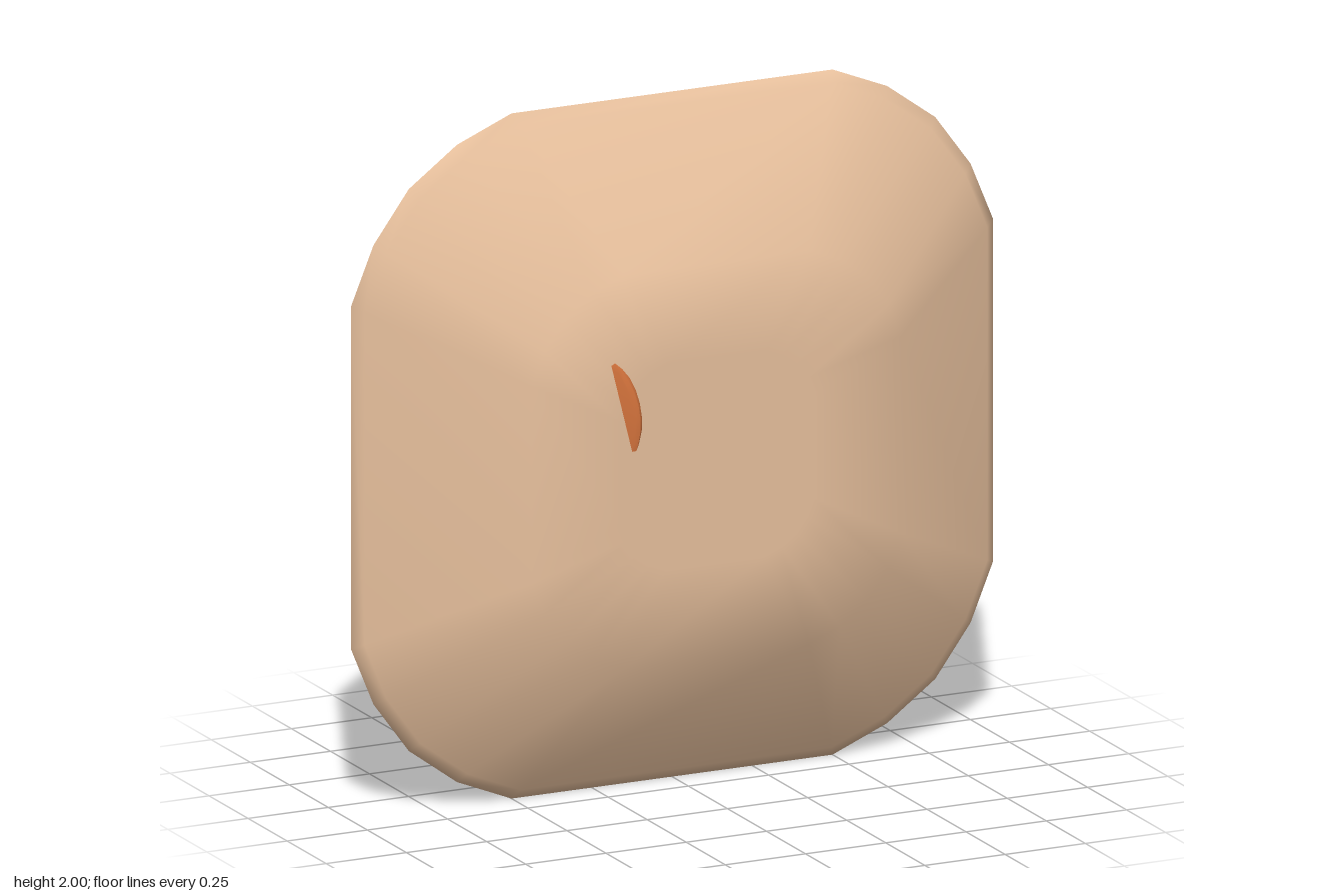
import * as THREE from 'three';
import { toCreasedNormals } from 'three/addons/utils/BufferGeometryUtils.js';

const mat = (color) => new THREE.MeshStandardMaterial({ color });
const DOUGH = mat(0xd9763e), RED = mat(0xb33a4b), BROWN = mat(0x4a2c1c), GREY = mat(0xcccccc);
const BEAD = mat(0xe8d8c4), PINK = mat(0x9c5a78), CLAY = mat(0xe6bf9c);

function add(parent, name, geometry, material, x = 0, y = 0, z = 0) {
  const m = new THREE.Mesh(geometry, material);
  m.name = name;
  m.position.set(x, y, z);
  parent.add(m);
  return m;
}

// Bowl: rounded-square loops lofted from the outer base, over the rim, to the inner floor
function bowlGeometry() {
  const corner = [[1, 0.5], [0.93, 0.67], [0.82, 0.82], [0.67, 0.93], [0.5, 1]];
  const outline = [];
  for (let q = 0; q < 4; q++) {
    const c = Math.round(Math.cos(q * Math.PI / 2)), s = Math.round(Math.sin(q * Math.PI / 2));
    corner.forEach(([x, y]) => outline.push([x * c - y * s, x * s + y * c]));
  }
  const profile = [[0, 0.18], [0.3, 0.18], [0.575, 0.18], [0.97, -0.08], [1, -0.105], [0.985, -0.125],
    [0.965, -0.13], [0.945, -0.115], [0.74, 0.03], [0.56, 0.135], [0.3, 0.15], [0, 0.15]];
  const n = outline.length, last = profile.length - 2, pos = [], index = [];
  profile.forEach(([s, z]) => outline.forEach(([x, y]) => pos.push(x * s, 1 + y * s, z)));
  for (let r = 0; r <= last; r++) {
    for (let i = 0; i < n; i++) {
      const a = r * n + i, b = r * n + (i + 1) % n;
      if (r > 0) index.push(a, a + n, b);
      if (r < last) index.push(b, a + n, b + n);
    }
  }
  const g = new THREE.BufferGeometry();
  g.setAttribute('position', new THREE.Float32BufferAttribute(pos, 3));
  g.setIndex(index);
  g.computeVertexNormals();
  return g;
}

// Cookie outlines
function heartShape() {
  const s = new THREE.Shape();
  s.moveTo(0, -0.27);
  s.bezierCurveTo(0.09, -0.18, 0.25, -0.04, 0.25, 0.09);
  s.bezierCurveTo(0.25, 0.24, 0.06, 0.27, 0, 0.13);
  s.bezierCurveTo(-0.06, 0.27, -0.25, 0.24, -0.25, 0.09);
  s.bezierCurveTo(-0.25, -0.04, -0.09, -0.18, 0, -0.27);
  return s;
}

// Fat crescent with blunt horns, its back towards +y
function moonShape() {
  const s = new THREE.Shape(), a = 0.4, r = 0.26;
  const hx = r * Math.cos(a), hy = -r * Math.sin(a);
  s.absarc(0, 0, r, -a, Math.PI + a, false);
  s.quadraticCurveTo(-hx + 0.03, hy - 0.05, -hx + 0.08, hy - 0.02);
  s.quadraticCurveTo(0, 0.16, hx - 0.08, hy - 0.02);
  s.quadraticCurveTo(hx - 0.03, hy - 0.05, hx, hy);
  return s;
}

function manShape() {
  const half = [[0.07, 0.27], [0.09, 0.2], [0.06, 0.135], [0.15, 0.125], [0.205, 0.085], [0.19, 0.03],
    [0.1, 0.015], [0.09, -0.06], [0.165, -0.19], [0.165, -0.26], [0.09, -0.28], [0.035, -0.18]];
  const pts = [[0, 0.295], ...half, [0, -0.135], ...half.map(([x, y]) => [-x, y]).reverse()];
  const curve = new THREE.CatmullRomCurve3(pts.map(([x, y]) => new THREE.Vector3(x, y, 0)), true);
  return new THREE.Shape(curve.getPoints(72).slice(0, -1).reverse().map((p) => new THREE.Vector2(p.x, p.y)));
}

// Slab with rounded edges whose front face lies at z = front
function slab(shape, thickness, front, inset) {
  const bevel = thickness * 0.25;
  const g = new THREE.ExtrudeGeometry(shape, {
    depth: thickness - 2 * bevel, bevelThickness: bevel, bevelSize: bevel,
    bevelOffset: -inset - bevel, bevelSegments: 2, curveSegments: 14,
  });
  g.translate(0, 0, front - thickness + bevel);
  return toCreasedNormals(g, 0.7);
}

// Cookie placed by centre, direction of its top and lean of its face (which looks to -z)
function cookie(parent, name, shape, icing, { at, up, lean, size = 1, inset = 0.022 }) {
  const g = new THREE.Group();
  g.name = name;
  add(g, 'dough', slab(shape, 0.06, 0, 0), DOUGH);
  if (icing) add(g, 'icing', slab(shape, 0.03, 0.016, inset), icing);
  const n = new THREE.Vector3(lean[0], lean[1], -1).normalize();
  const u = new THREE.Vector3(up[0], up[1], up[0] * lean[0] + up[1] * lean[1]).normalize();
  const x = new THREE.Vector3().crossVectors(u, n);
  g.quaternion.setFromRotationMatrix(new THREE.Matrix4().makeBasis(x, u, n));
  g.position.set(...at);
  g.scale.setScalar(size);
  parent.add(g);
  return g;
}

const tube = (pts, r, closed = false) =>
  new THREE.TubeGeometry(new THREE.CatmullRomCurve3(pts, closed), 64, r, 6, closed);

// Piped outline that winds into two curls at the notch
function pipeHeart(g) {
  const pts = heartShape().getPoints(10).slice(0, -1).map((p) => new THREE.Vector3(p.x * 0.87, p.y * 0.87, 0.004));
  add(g, 'pipedOutline', tube(pts, 0.01, true), RED);
  for (const side of [-1, 1]) {
    const curl = [];
    for (let i = 0; i <= 28; i++) {
      const t = i / 28, a = Math.PI * (1 + 3.4 * t), r = 0.052 * (1 - 0.8 * t);
      curl.push(new THREE.Vector3(side * (0.054 + r * Math.cos(a)), 0.095 + r * Math.sin(a), 0.006));
    }
    add(g, 'curl', tube(curl, 0.008), RED);
  }
}

// Face, buttons and beaded cuffs
function decorateMan(g, faceMat, z, cuffs) {
  const ball = (name, x, y, r, m) => add(g, name, new THREE.SphereGeometry(r, 10, 8), m, x, y, z).scale.set(1, 1, 0.7);
  const smile = add(g, 'smile', new THREE.TorusGeometry(0.045, 0.006, 6, 16, 2.4), faceMat, 0, 0.205, z);
  smile.rotation.z = Math.PI + 0.37;
  for (const s of [-1, 1]) {
    ball('eye', s * 0.025, 0.225, 0.011, faceMat);
    if (!cuffs) continue;
    for (let i = 0; i < 7; i++) {
      const t = i / 6, zig = i % 2 ? 0.006 : -0.006;
      ball('armBead', s * (0.145 + zig), 0.03 + 0.085 * t, 0.009, BEAD);
      ball('legBead', s * (0.06 + 0.08 * t), -0.195 + 0.035 * t + zig, 0.009, BEAD);
    }
  }
  for (const y of [0.09, 0.02, -0.05]) ball('button', 0, y, 0.014, cuffs ? BEAD : faceMat);
}

export function createModel() {
  const model = new THREE.Group();
  model.name = 'cookieBowl';
  add(model, 'bowl', bowlGeometry(), CLAY);

  // Iced hearts
  const heart = heartShape();
  cookie(model, 'redHeartTop', heart, RED, { at: [0.57, 1.475, -0.06], up: [0.88, 0.47], lean: [-0.08, -0.08] });
  cookie(model, 'redHeartMiddle', heart, RED, { at: [0.44, 0.68, -0.03], up: [0.75, -0.66], lean: [-0.45, 0.17] });
  cookie(model, 'redHeartBottom', heart, RED, { at: [0.12, 0.37, -0.065], up: [0.39, -0.92], lean: [0, 0.25] });
  cookie(model, 'chocolateHeart', heart, BROWN, { at: [-0.15, 0.91, -0.125], up: [0.8, 0.6], lean: [0.1, 0], size: 1.05 });

  // Piped hearts
  pipeHeart(cookie(model, 'pipedHeartTop', heart, null, { at: [0.26, 1.12, -0.06], up: [0.02, -1], lean: [0, -0.27] }));
  pipeHeart(cookie(model, 'pipedHeartBottom', heart, null, { at: [0.02, 0.62, 0.0], up: [-0.3, -0.95], lean: [0.1, 0.2] }));

  // Crescents
  const moon = moonShape();
  cookie(model, 'icedMoonLeft', moon, GREY, { at: [0.61, 1.07, -0.075], up: [0.5, -0.87], lean: [-0.35, -0.27], size: 1.03 });
  cookie(model, 'plainMoonTop', moon, null, { at: [0.1, 1.47, -0.02], up: [0, 1], lean: [0, -0.25], size: 1.08 });
  cookie(model, 'icedMoonRight', moon, GREY, { at: [-0.45, 1.49, -0.03], up: [0.9, 0.42], lean: [0.2, -0.25] });
  cookie(model, 'plainMoonSide', moon, null, { at: [-0.48, 1.14, 0.03], up: [0.05, 1], lean: [0.4, 0.1], size: 1.1 });

  // Gingerbread figures
  const man = manShape();
  const upper = cookie(model, 'gingerbreadTop', man, null, { at: [-0.165, 1.32, -0.08], up: [-0.53, -0.85], lean: [0.1, 0.15], size: 1.05 });
  decorateMan(upper, BEAD, 0.002, true);
  const lower = cookie(model, 'gingerbreadBottom', man, null, { at: [-0.51, 0.48, -0.03], up: [-0.74, -0.67], lean: [0.4, 0.35], size: 1.08 });
  decorateMan(lower, BEAD, 0.002, true);
  const iced = cookie(model, 'icedGingerbread', man, GREY, { at: [-0.14, 0.93, 0.02], up: [-0.96, -0.28], lean: [0.15, 0], size: 1.15, inset: 0.014 });
  decorateMan(iced, PINK, 0.018, false);

  return model;
}
